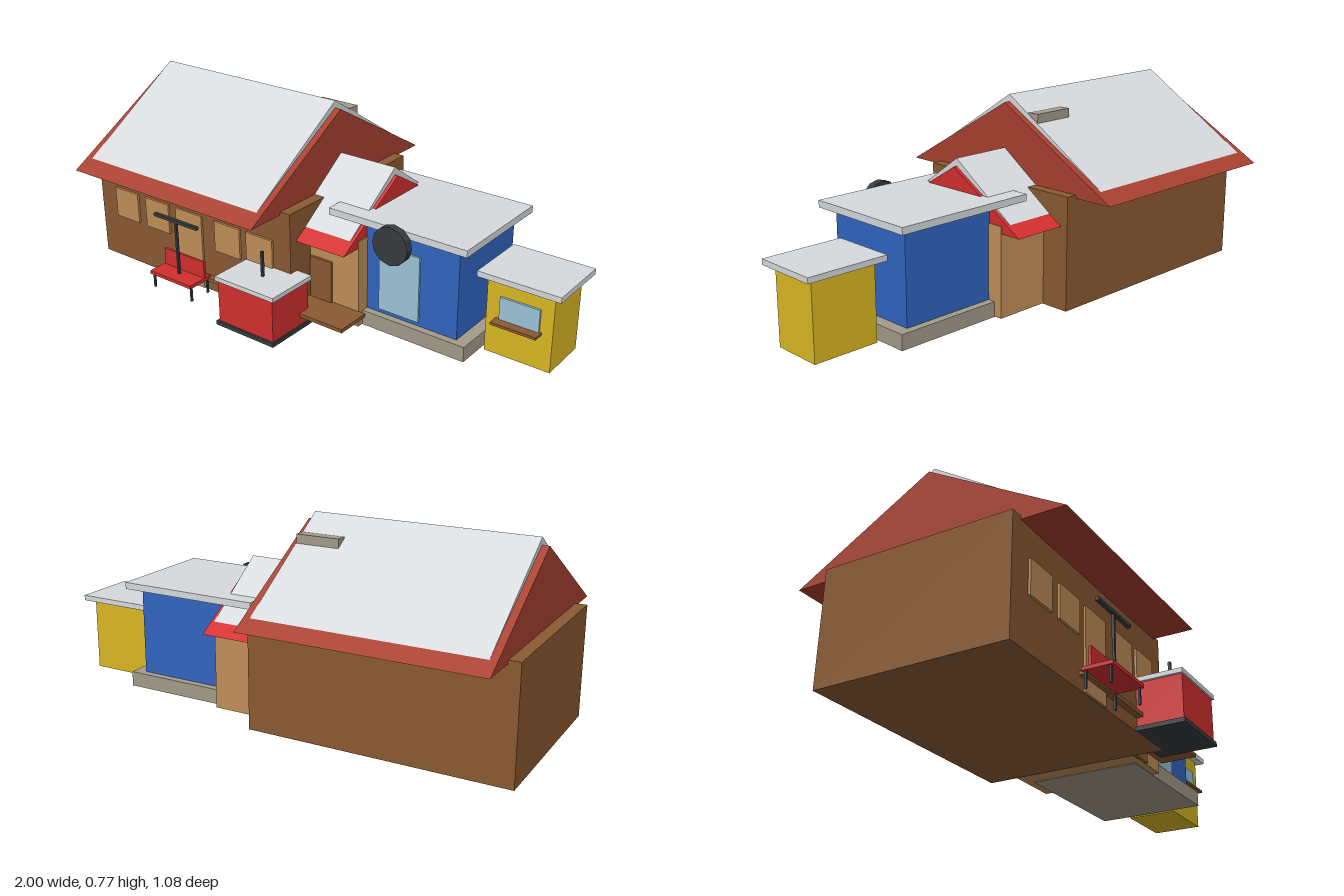
import * as THREE from 'three';

const mat = (name, color) => {
  const m = new THREE.MeshStandardMaterial({ color });
  m.name = name;
  return m;
};

export function createModel() {
  const brown = mat('timber brown', 0x8a5a32);
  const tan = mat('light wood', 0xc08e58);
  const brick = mat('brick red', 0xa84030);
  const red = mat('bright red', 0xd32f2f);
  const snow = mat('pale grey', 0xd6dadd);
  const blue = mat('blue', 0x3065c0);
  const yellow = mat('yellow', 0xdab823);
  const glass = mat('glass blue', 0x9cc4d8);
  const stone = mat('stone', 0xa39b8a);
  const dark = mat('dark metal', 0x383c40);

  const model = new THREE.Group();
  model.name = 'village';
  const section = (name) => {
    const g = new THREE.Group();
    g.name = name;
    model.add(g);
    return g;
  };

  // Box given by its extents along each axis
  const box = (parent, name, material, [x0, x1], [y0, y1], [z0, z1]) => {
    const mesh = new THREE.Mesh(new THREE.BoxGeometry(x1 - x0, y1 - y0, z1 - z0), material);
    mesh.position.set((x0 + x1) / 2, (y0 + y1) / 2, (z0 + z1) / 2);
    mesh.name = name;
    parent.add(mesh);
  };

  // Triangular prism with its ridge along x
  const gable = (parent, name, material, [x0, x1], [y0, y1], half, z) => {
    const shape = new THREE.Shape();
    shape.moveTo(-half, 0);
    shape.lineTo(half, 0);
    shape.lineTo(0, y1 - y0);
    shape.closePath();
    const geometry = new THREE.ExtrudeGeometry(shape, { depth: x1 - x0, bevelEnabled: false });
    geometry.rotateY(Math.PI / 2);
    const mesh = new THREE.Mesh(geometry, material);
    mesh.position.set(x0, y0, z);
    mesh.name = name;
    parent.add(mesh);
  };

  // Main house
  const house = section('house');
  box(house, 'houseWalls', brown, [-1, 0.025], [0, 0.443], [-0.38, 0.358]);
  gable(house, 'houseRoof', brick, [-0.955, -0.02], [0.43, 0.737], 0.53, -0.01);
  gable(house, 'houseRoofSnow', snow, [-0.927, -0.047], [0.467, 0.766], 0.466, -0.01);
  box(house, 'chimney', stone, [-0.225, -0.05], [0.55, 0.707], [-0.157, -0.11]);
  for (const x of [-0.905, -0.73, -0.35, -0.187]) {
    box(house, 'window', tan, [x, x + 0.13], [0.19, 0.317], [0.358, 0.367]);
  }
  box(house, 'houseDoor', tan, [-0.56, -0.42], [0.002, 0.317], [0.358, 0.366]);
  box(house, 'deck', brown, [-0.59, 0.28], [0.052, 0.067], [0.237, 0.383]);

  // Gabled annex between house and hall
  const annex = section('annex');
  box(annex, 'annexWalls', tan, [0, 0.25], [0.002, 0.355], [-0.264, 0.24]);
  gable(annex, 'annexRoof', red, [-0.04, 0.246], [0.326, 0.531], 0.338, -0.012);
  gable(annex, 'annexRoofSnow', snow, [-0.04, 0.232], [0.363, 0.561], 0.28, -0.012);
  box(annex, 'annexDoor', brown, [0.03, 0.13], [0.003, 0.237], [0.24, 0.25]);

  // Blue hall on a stone plinth
  const hall = section('hall');
  box(hall, 'plinth', stone, [0.1, 0.69], [0, 0.06], [-0.23, 0.212]);
  box(hall, 'hallWalls', blue, [0.15, 0.642], [0.06, 0.42], [-0.2, 0.184]);
  box(hall, 'hallRoof', snow, [0.1, 0.69], [0.417, 0.444], [-0.246, 0.222]);
  box(hall, 'hallDoor', glass, [0.308, 0.482], [0.078, 0.34], [0.184, 0.192]);
  const disc = new THREE.Mesh(new THREE.CylinderGeometry(0.075, 0.075, 0.031, 12).toNonIndexed(), dark);
  disc.geometry.computeVertexNormals();
  disc.rotation.x = Math.PI / 2;
  disc.position.set(0.395, 0.385, 0.24);
  disc.name = 'roundSign';
  hall.add(disc);

  // Yellow kiosk
  const kiosk = section('kiosk');
  box(kiosk, 'kioskWalls', yellow, [0.705, 0.967], [0, 0.3], [-0.113, 0.092]);
  box(kiosk, 'kioskRoof', snow, [0.675, 1], [0.3, 0.322], [-0.145, 0.12]);
  box(kiosk, 'kioskWindow', glass, [0.76, 0.917], [0.148, 0.237], [0.092, 0.1]);
  box(kiosk, 'kioskShelf', brown, [0.745, 0.925], [0.138, 0.148], [0.092, 0.136]);

  // Red booth with a short mast
  const booth = section('booth');
  box(booth, 'boothBase', dark, [-0.188, 0.09], [0, 0.017], [0.321, 0.544]);
  box(booth, 'boothWalls', red, [-0.178, 0.084], [0.017, 0.185], [0.332, 0.536]);
  box(booth, 'boothRoof', snow, [-0.188, 0.093], [0.185, 0.203], [0.321, 0.542]);
  box(booth, 'boothMast', dark, [-0.052, -0.042], [0.203, 0.305], [0.428, 0.438]);

  // Bench with lamp post
  const bench = section('bench');
  box(bench, 'benchSeat', red, [-0.6, -0.38], [0.06, 0.074], [0.37, 0.485]);
  box(bench, 'benchBack', red, [-0.595, -0.38], [0.074, 0.145], [0.395, 0.405]);
  for (const x of [-0.594, -0.392]) {
    for (const z of [0.378, 0.468]) box(bench, 'benchLeg', dark, [x, x + 0.008], [0, 0.06], [z, z + 0.008]);
  }
  box(bench, 'lampPost', dark, [-0.495, -0.485], [0.074, 0.3], [0.428, 0.438]);
  box(bench, 'lampBar', dark, [-0.605, -0.375], [0.296, 0.309], [0.426, 0.44]);

  return model;
}
